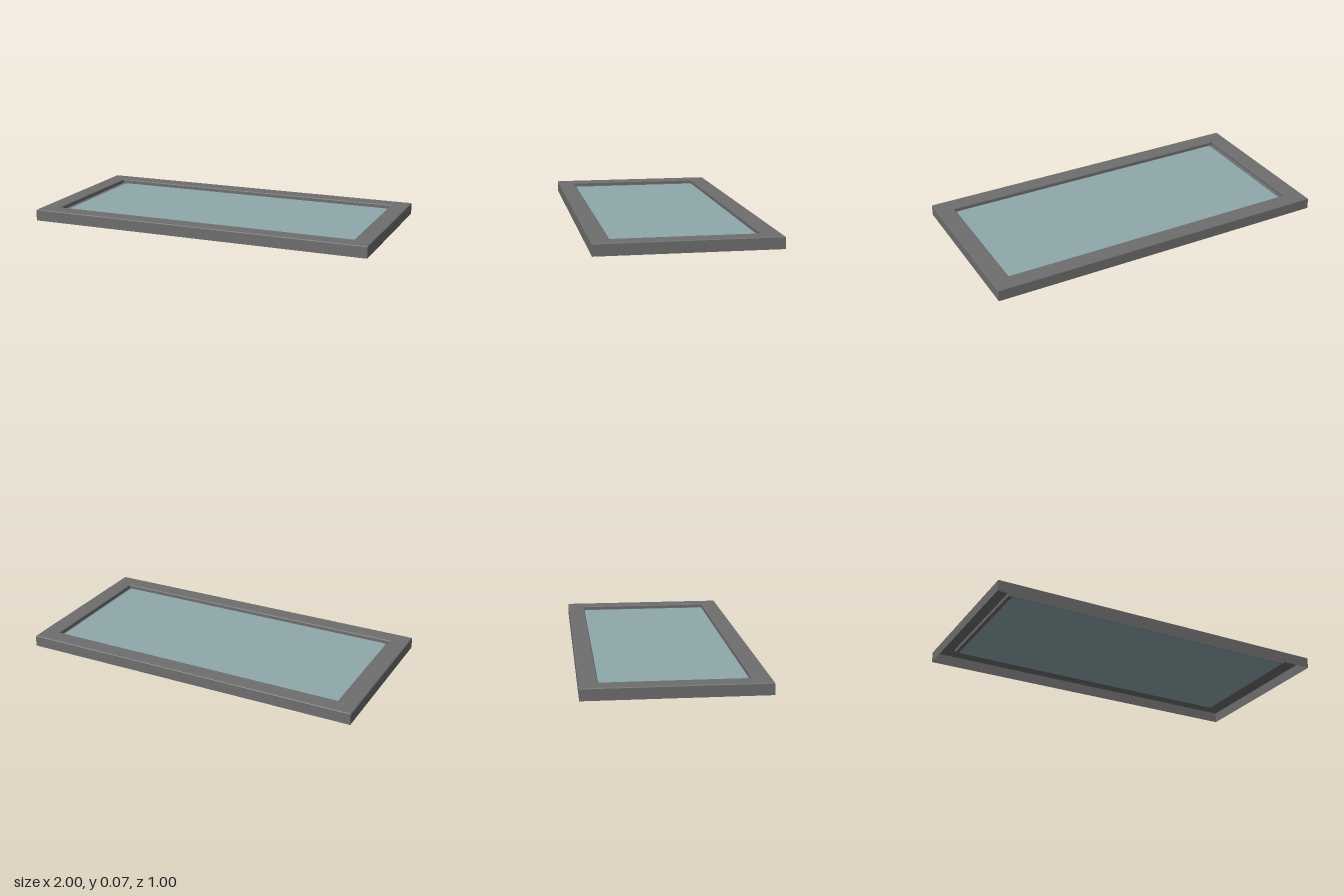
import * as THREE from 'three';

const paneY = 0.044;

// Flat-shaded shell through nested rectangles [halfX, halfZ, y]
function loftRectangles(rings) {
  const corners = [[-1, 1], [1, 1], [1, -1], [-1, -1]];
  const point = ([hx, hz, y], k) => [corners[k][0] * hx, y, corners[k][1] * hz];
  const positions = [];
  for (let i = 0; i < rings.length - 1; i++) {
    for (let k = 0; k < 4; k++) {
      const n = (k + 1) % 4;
      const a = point(rings[i], k), b = point(rings[i], n);
      const c = point(rings[i + 1], n), d = point(rings[i + 1], k);
      positions.push(...a, ...b, ...c, ...a, ...c, ...d);
    }
  }
  const geometry = new THREE.BufferGeometry();
  geometry.setAttribute('position', new THREE.Float32BufferAttribute(positions, 3));
  geometry.computeVertexNormals();
  return geometry;
}

function roundedRect(Type, x0, x1, h, r) {
  const s = new Type();
  s.moveTo(x0 + r, -h);
  s.lineTo(x1 - r, -h);
  s.quadraticCurveTo(x1, -h, x1, -h + r);
  s.lineTo(x1, h - r);
  s.quadraticCurveTo(x1, h, x1 - r, h);
  s.lineTo(x0 + r, h);
  s.quadraticCurveTo(x0, h, x0, h - r);
  s.lineTo(x0, -h + r);
  s.quadraticCurveTo(x0, -h, x0 + r, -h);
  return s;
}

export function createModel() {
  const frameGrey = new THREE.MeshStandardMaterial({ color: 0x6e6e6e, side: THREE.DoubleSide });
  frameGrey.name = 'frame grey';
  const paneBlue = new THREE.MeshStandardMaterial({ color: 0x90a9ac, side: THREE.DoubleSide });
  paneBlue.name = 'pane blue';

  const model = new THREE.Group();
  model.name = 'framedPanel';
  const add = (name, geometry, material) => {
    const mesh = new THREE.Mesh(geometry, material);
    mesh.name = name;
    model.add(mesh);
    return mesh;
  };

  // Hollow frame, open underneath: outer wall, bevel, top, inner bevel, lip
  add('frame', loftRectangles([
    [1, 0.5, 0],
    [1, 0.5, 0.062],
    [0.996, 0.496, 0.066],
    [0.902, 0.402, 0.066],
    [0.898, 0.398, 0.062],
    [0.898, 0.398, paneY],
  ]), frameGrey);

  // Narrow ledge around the pane
  const ledge = new THREE.Shape();
  ledge.moveTo(-0.898, -0.398);
  ledge.lineTo(0.898, -0.398);
  ledge.lineTo(0.898, 0.398);
  ledge.lineTo(-0.898, 0.398);
  ledge.closePath();
  ledge.holes.push(roundedRect(THREE.Path, -0.876, 0.888, 0.395, 0.02));
  add('paneLedge', new THREE.ShapeGeometry(ledge, 4).rotateX(-Math.PI / 2), frameGrey).position.y = paneY;

  // Sunken pane
  const pane = roundedRect(THREE.Shape, -0.876, 0.888, 0.395, 0.02);
  add('pane', new THREE.ShapeGeometry(pane, 4).rotateX(-Math.PI / 2), paneBlue).position.y = paneY;

  return model;
}
